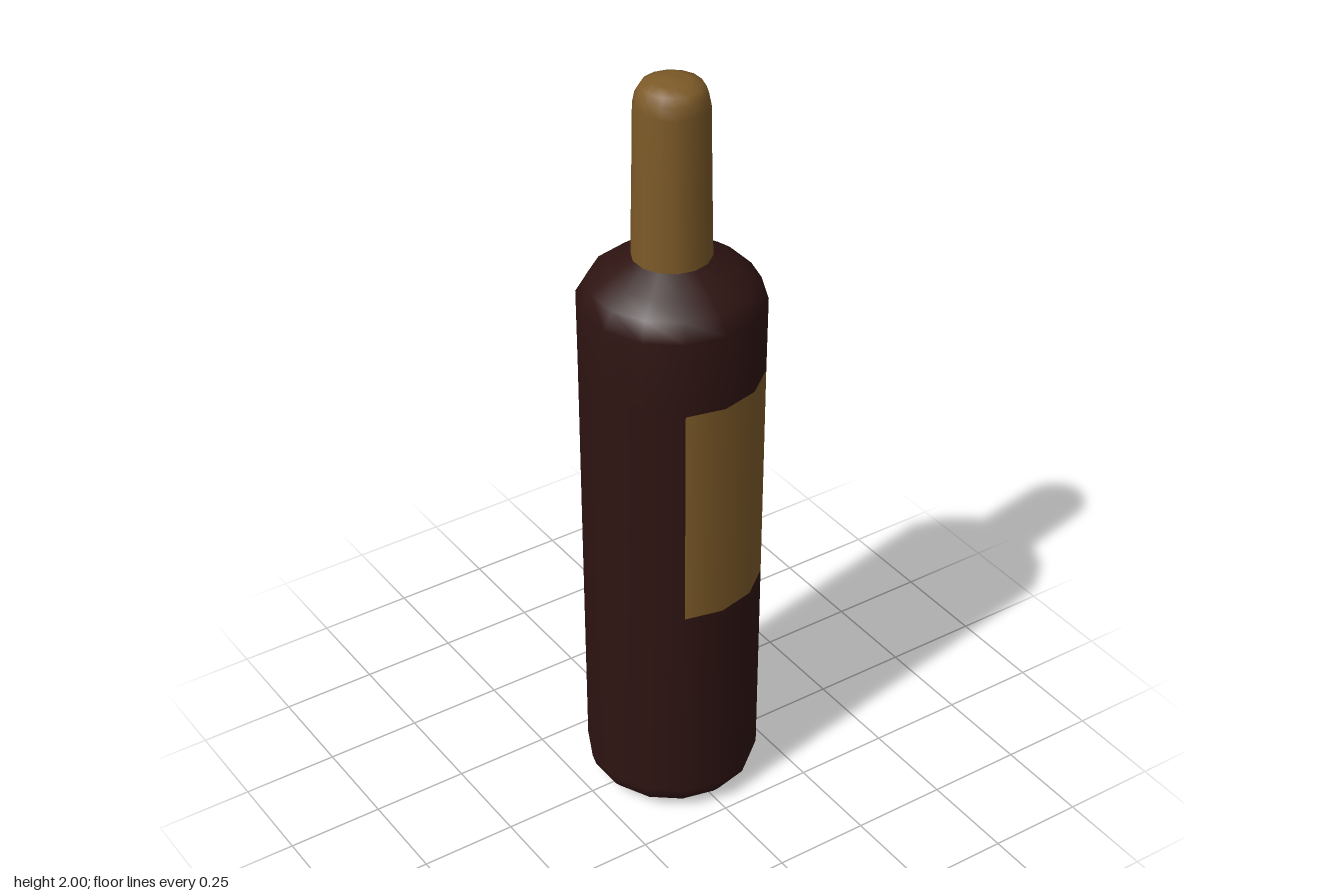
import * as THREE from 'three';

const SIDES = 14;
const STEP = (Math.PI * 2) / SIDES;

// Revolve a profile of [radius, height] points over a run of the bottle's facets
function lathe(name, profile, material, firstSide = 0, sides = SIDES) {
  const points = profile.map(([r, y]) => new THREE.Vector2(r, y));
  const geometry = new THREE.LatheGeometry(points, sides, firstSide * STEP, sides * STEP);
  const mesh = new THREE.Mesh(geometry, material);
  mesh.name = name;
  return mesh;
}

export function createModel() {
  const glass = new THREE.MeshStandardMaterial({ color: 0x2e1412 });
  const gold = new THREE.MeshStandardMaterial({ color: 0x7d5a28 });

  const model = new THREE.Group();
  model.name = 'bottle';

  // Rounded base and lower wall
  model.add(lathe('lowerBody', [
    [0, 0], [0.17, 0.01], [0.195, 0.02], [0.213, 0.04], [0.222, 0.07], [0.225, 0.63],
  ], glass));

  // Middle band: label wraps nine facets around the +x side, bare glass fills the rest
  const band = [[0.225, 0.63], [0.228, 1.23]];
  model.add(lathe('label', band, gold, -1, 9));
  model.add(lathe('middleBody', band, glass, 8, 5));

  // Upper wall and sloping shoulder
  model.add(lathe('shoulder', [
    [0.228, 1.23], [0.23, 1.43], [0.203, 1.475], [0.16, 1.507], [0.095, 1.545],
  ], glass));

  // Foil-covered neck with a rounded top
  model.add(lathe('neckFoil', [
    [0.098, 1.535], [0.094, 1.75], [0.091, 1.935], [0.085, 1.965], [0.073, 1.985], [0.045, 1.996], [0, 2],
  ], gold));

  return model;
}
